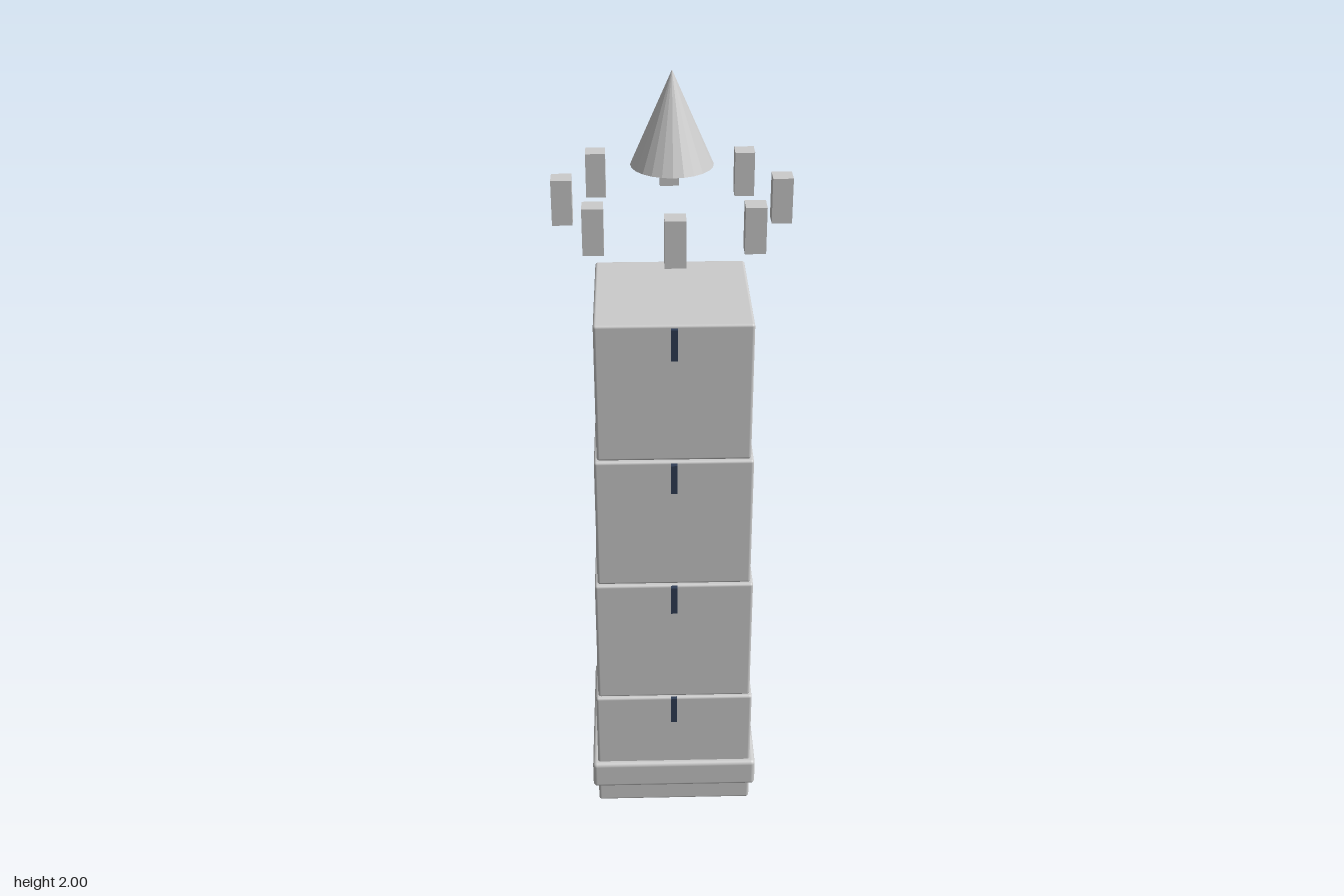
import * as THREE from 'three';
import { RoundedBoxGeometry } from 'three/addons/geometries/RoundedBoxGeometry.js';

export function createModel() {
  const tower = new THREE.Group();
  tower.name = 'tower';
  const stone = new THREE.MeshStandardMaterial({ color: 0xcccccc });
  const facetedStone = new THREE.MeshStandardMaterial({ color: 0xcccccc, flatShading: true });
  const dark = new THREE.MeshStandardMaterial({ color: 0x2f3d55 });

  const add = (name, geometry, material, x, y, z) => {
    const mesh = new THREE.Mesh(geometry, material);
    mesh.name = name;
    mesh.position.set(x, y, z);
    tower.add(mesh);
  };

  // Four stacked storeys, each a little narrower, with a slit window front and back
  const storey = 0.3643;
  const slit = new THREE.BoxGeometry(0.016, 0.08, 0.012);
  [0.418, 0.406, 0.392, 0.378].forEach((width, i) => {
    const body = new RoundedBoxGeometry(width, storey, width, 3, 0.007);
    add(`storey${i + 1}`, body, stone, 0, (i + 0.5) * storey, 0);
    for (const side of [1, -1]) {
      add(side > 0 ? 'frontSlit' : 'backSlit', slit, dark, 0, (i + 1) * storey - 0.04, side * 0.21);
    }
  });

  // Base moulding
  add('baseBand', new RoundedBoxGeometry(0.446, 0.082, 0.446, 4, 0.011), stone, 0, 0.101, 0);

  // Ring of eight floating merlons: corners closer in, sides further out
  const merlon = new THREE.BoxGeometry(0.048, 0.11, 0.048);
  for (let i = -1; i <= 1; i++) {
    for (let j = -1; j <= 1; j++) {
      if (!i && !j) continue;
      const reach = i && j ? 0.182 : 0.258;
      add('merlon', merlon, stone, i * reach, 1.695, j * reach);
    }
  }

  // Pointed roof
  add('roof', new THREE.ConeGeometry(0.097, 0.22, 24), facetedStone, 0, 1.89, 0);

  return tower;
}
